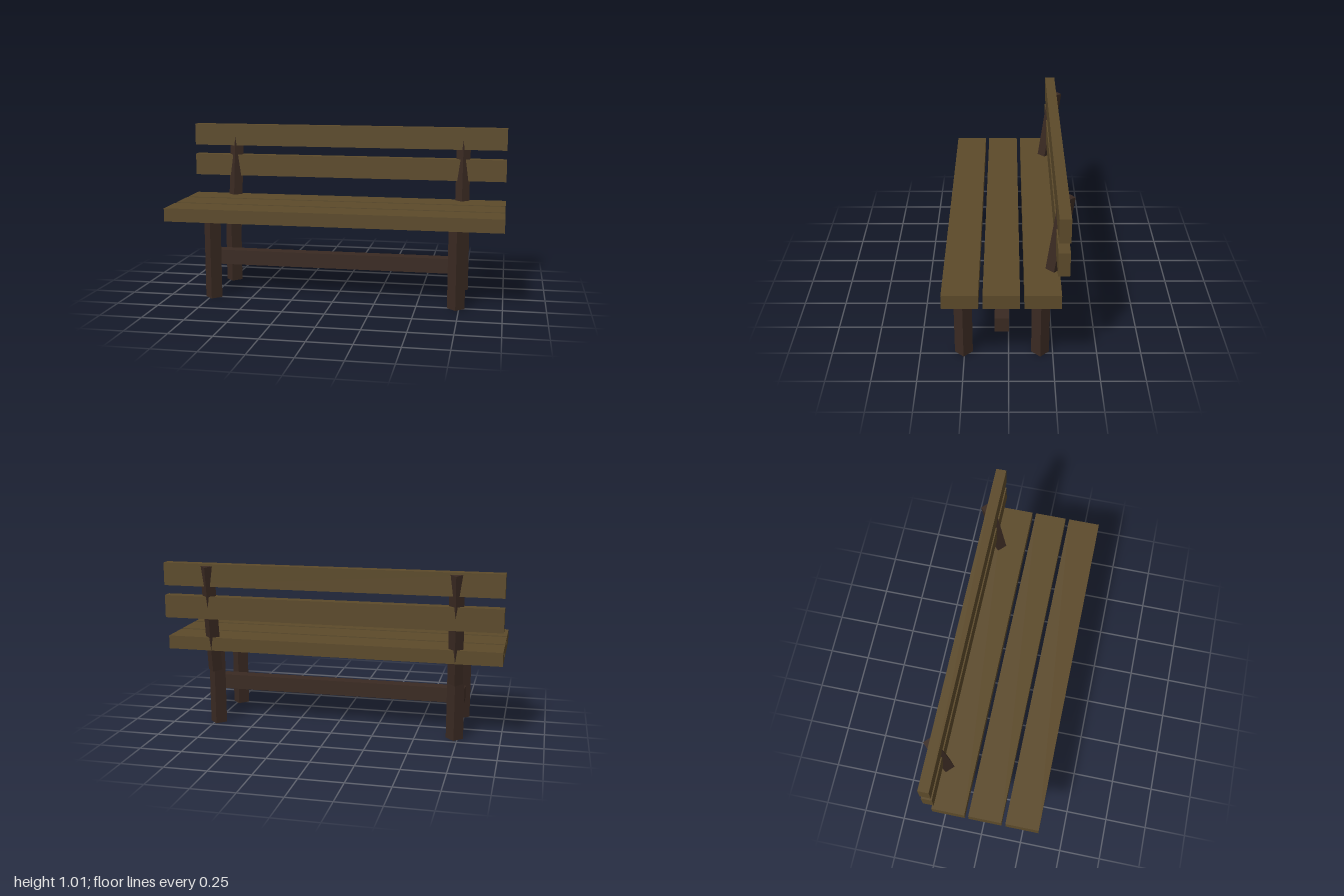
import * as THREE from 'three';

export function createModel() {
  const bench = new THREE.Group();
  bench.name = 'parkBench';

  const plankWood = new THREE.MeshStandardMaterial({ color: 0x5c4a2a });
  plankWood.name = 'plankWood';
  const frameWood = new THREE.MeshStandardMaterial({ color: 0x3a2a22, flatShading: true });
  frameWood.name = 'frameWood';

  const add = (name, geometry, material, x, y, z) => {
    const mesh = new THREE.Mesh(geometry, material);
    mesh.name = name;
    mesh.position.set(x, y, z);
    bench.add(mesh);
    return mesh;
  };

  // Seat planks, front to back
  const seatPlank = new THREE.BoxGeometry(2, 0.08, 0.194);
  [0.255, 0.038, -0.179].forEach((z) => add('seatPlank', seatPlank, plankWood, 0, 0.515, z));

  // Upright back slats
  const backSlat = new THREE.BoxGeometry(2, 0.135, 0.062);
  [0.743, 0.938].forEach((y) => add('backSlat', backSlat, plankWood, 0, y, -0.282));

  // Four-sided legs and leaning back posts, corner facing forward
  const leg = new THREE.CylinderGeometry(0.051, 0.051, 0.48, 4);
  const post = new THREE.CylinderGeometry(0.0435, 0.0435, 0.657, 4);
  for (const side of [-1, 1]) {
    const x = side * 0.732;
    add('frontLeg', leg, frameWood, x, 0.24, 0.254);
    add('backLeg', leg, frameWood, x, 0.24, -0.179);
    add('backPost', post, frameWood, x, 0.669, -0.259).rotation.x = -0.139;
  }

  // Long rail under the seat
  add('stretcher', new THREE.BoxGeometry(1.535, 0.09, 0.079), frameWood, 0, 0.207, 0.038);

  return bench;
}
